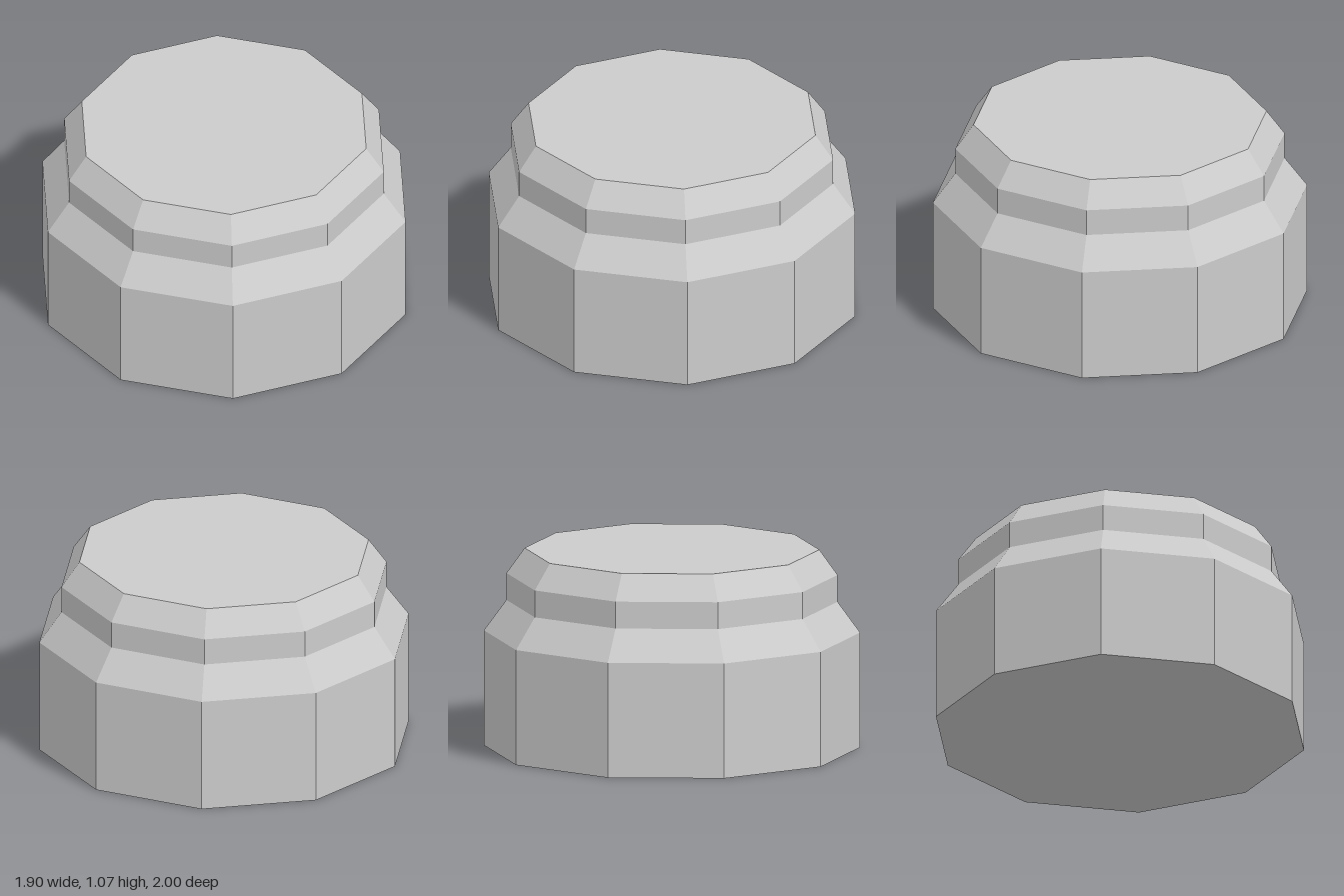
import * as THREE from 'three';

const SIDES = 10;

export function createModel() {
  const group = new THREE.Group();
  group.name = 'steppedDrum';
  const material = new THREE.MeshStandardMaterial({ color: 0xcccccc, flatShading: true });

  // Outline from the base up: wall, sloped shoulder, neck, bevelled rim
  const profile = [[1, 0], [1, 0.62], [0.88, 0.785], [0.88, 0.93], [0.783, 1.066]]
    .map(([r, y]) => new THREE.Vector2(r, y));
  const body = new THREE.Mesh(new THREE.LatheGeometry(profile, SIDES), material);
  body.name = 'body';
  group.add(body);

  // Flat ten-sided lid and base, with a corner facing front
  const addDisc = (name, radius, y, tilt) => {
    const geometry = new THREE.CircleGeometry(radius, SIDES, Math.PI / 2);
    geometry.rotateX(tilt);
    const disc = new THREE.Mesh(geometry, material);
    disc.name = name;
    disc.position.y = y;
    group.add(disc);
  };
  addDisc('lid', 0.783, 1.066, -Math.PI / 2);
  addDisc('base', 1, 0, Math.PI / 2);

  return group;
}
